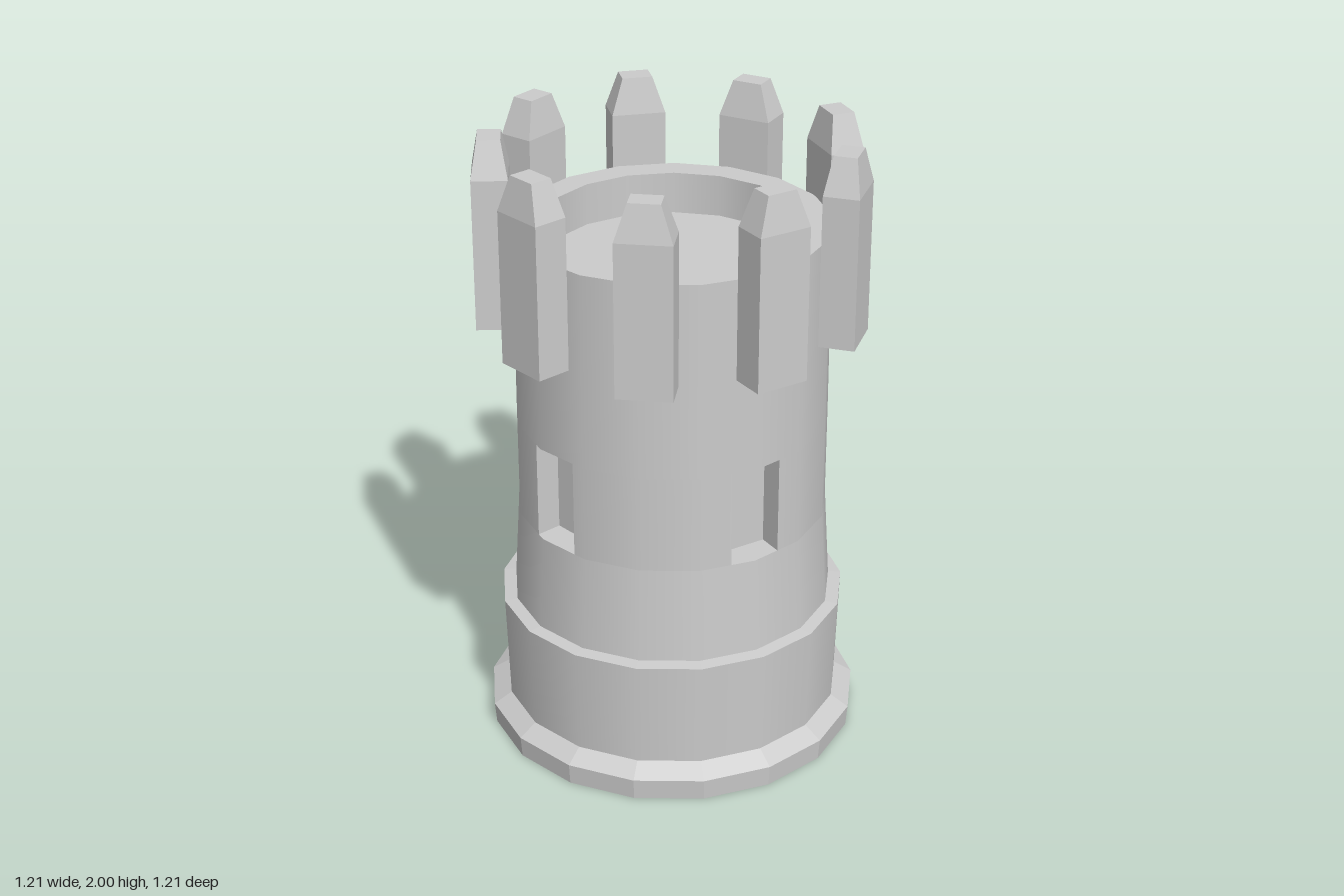
import * as THREE from 'three';

const SIDES = 17;
const STEP = (Math.PI * 2) / SIDES;
const rad = THREE.MathUtils.degToRad;
const START = rad(-3);

const smooth = new THREE.MeshStandardMaterial({ color: 0xcccccc });
const flat = new THREE.MeshStandardMaterial({ color: 0xcccccc, flatShading: true });

// Window openings, shared by the wall band and the recesses
const WIN_Y0 = 0.77, WIN_Y1 = 1.085, WALL_R = 0.496;
const WIN_HALF = rad(10), RECESS_R = 0.4;
const WINDOWS = [-18, 61.5, 162, 263].map(rad);

function add(parent, name, geometry, material) {
  const mesh = new THREE.Mesh(geometry, material);
  mesh.name = name;
  parent.add(mesh);
  return mesh;
}

// One straight run of the round profile, so edges between runs stay sharp
function run(parent, name, material, ...profile) {
  const points = profile.map(([r, y]) => new THREE.Vector2(r, y));
  return add(parent, name, new THREE.LatheGeometry(points, SIDES, START, Math.PI * 2), material);
}

// Point on the many-sided wall at an angle
function wallPoint(angle, y) {
  const k = Math.floor((angle - START) / STEP + 1e-6);
  const middle = START + (k + 0.5) * STEP;
  const r = (WALL_R * Math.cos(STEP / 2)) / Math.cos(angle - middle);
  return new THREE.Vector3(r * Math.sin(angle), y, r * Math.cos(angle));
}

// Angles from a to b, including each wall corner between them
function anglesBetween(a, b) {
  const list = [a];
  for (let k = Math.ceil((a - START) / STEP); START + k * STEP < b; k++) {
    const corner = START + k * STEP;
    if (corner - a > 1e-4 && b - corner > 1e-4) list.push(corner);
  }
  list.push(b);
  return list;
}

// Strips of quads between two equally long rows of points, lower row first
function strips(pairs, round) {
  const position = [], normal = [];
  for (const [low, high] of pairs) {
    for (let i = 0; i + 1 < low.length; i++) {
      const corners = [low[i], low[i + 1], high[i + 1], low[i], high[i + 1], high[i]];
      for (const p of corners) {
        position.push(p.x, p.y, p.z);
        const l = Math.hypot(p.x, p.z);
        normal.push(p.x / l, 0, p.z / l);
      }
    }
  }
  const g = new THREE.BufferGeometry();
  g.setAttribute('position', new THREE.Float32BufferAttribute(position, 3));
  if (round) g.setAttribute('normal', new THREE.Float32BufferAttribute(normal, 3));
  else g.computeVertexNormals();
  return g;
}

// Sill, lintel, jambs and back panel of one window
function recess(angle) {
  const dir = new THREE.Vector3(Math.sin(angle), 0, Math.cos(angle));
  const row = (y) => anglesBetween(angle - WIN_HALF, angle + WIN_HALF).map((a) => wallPoint(a, y));
  const inward = (p) => p.clone().addScaledVector(dir, RECESS_R - p.dot(dir));
  const low = row(WIN_Y0), high = row(WIN_Y1);
  const lowIn = low.map(inward), highIn = high.map(inward);
  const n = low.length - 1;
  return strips([
    [low, lowIn],
    [highIn, high],
    [lowIn, highIn],
    [[low[0], lowIn[0]], [high[0], highIn[0]]],
    [[lowIn[n], low[n]], [highIn[n], high[n]]],
  ]);
}

// Upright block with a tapered top
function merlonGeometry() {
  const g = new THREE.BoxGeometry(0.172, 0.6, 0.112, 1, 2, 1);
  const p = g.attributes.position;
  for (let i = 0; i < p.count; i++) {
    const y = p.getY(i);
    if (y > 0.1) p.setXYZ(i, p.getX(i) * 0.56, y, p.getZ(i) * 0.64);
    else if (y > -0.1) p.setY(i, 0.185);
  }
  g.computeVertexNormals();
  return g;
}

export function createModel() {
  const model = new THREE.Group();
  model.name = 'tower';

  // Plinth
  run(model, 'underside', flat, [0, 0], [0.597, 0]);
  run(model, 'plinth', flat, [0.597, 0], [0.603, 0.07]);
  run(model, 'plinthBevel', flat, [0.603, 0.07], [0.545, 0.107]);

  // Lower wall and its ledge
  run(model, 'lowerWall', smooth, [0.545, 0.107], [0.556, 0.455]);
  run(model, 'ledge', flat, [0.556, 0.455], [0.515, 0.46]);

  // Main wall: flared foot, band with window openings, upper part
  run(model, 'wallFoot', smooth, [0.515, 0.46], [WALL_R, WIN_Y0]);
  const band = WINDOWS.map((w, i) => {
    const next = i + 1 < WINDOWS.length ? WINDOWS[i + 1] : WINDOWS[0] + Math.PI * 2;
    const angles = anglesBetween(w + WIN_HALF, next - WIN_HALF);
    return [WIN_Y0, WIN_Y1].map((y) => angles.map((a) => wallPoint(a, y)));
  });
  add(model, 'windowBand', strips(band, true), smooth);
  for (const w of WINDOWS) add(model, 'windowRecess', recess(w), flat);
  run(model, 'upperWall', smooth, [WALL_R, WIN_Y1], [0.493, 1.715]);

  // Rim and sunken roof floor
  run(model, 'rim', flat, [0.493, 1.715], [0.405, 1.715]);
  run(model, 'parapetInside', smooth, [0.405, 1.715], [0.405, 1.58]);
  run(model, 'roofFloor', flat, [0.405, 1.58], [0, 1.58]);

  // Ring of nine merlons
  const merlon = merlonGeometry();
  for (let i = 0; i < 9; i++) {
    const a = rad(22 + 40 * i);
    const block = add(model, 'merlon', merlon, flat);
    block.position.set(0.546 * Math.sin(a), 1.7, 0.546 * Math.cos(a));
    block.rotation.y = a;
  }
  return model;
}
